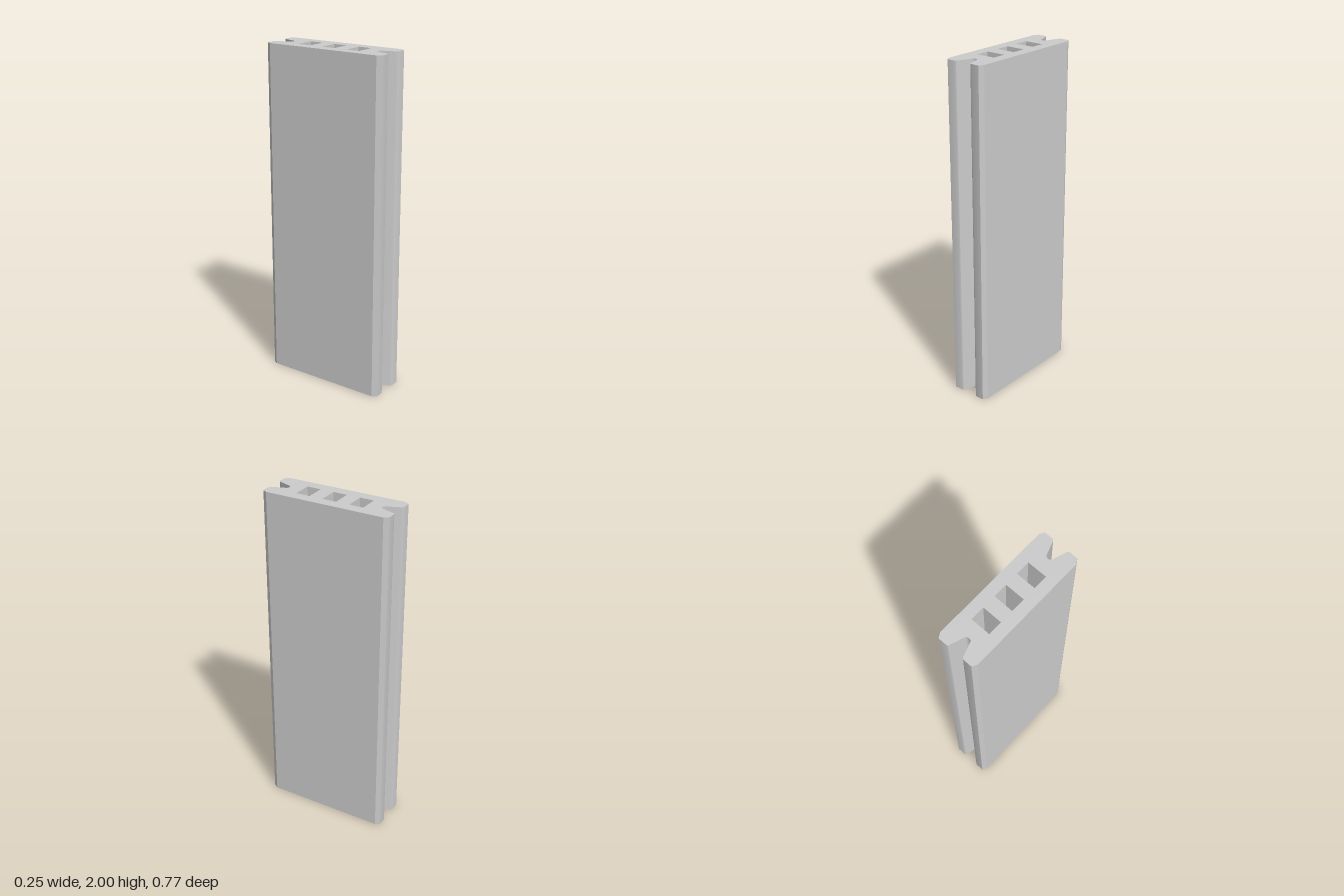
import * as THREE from 'three';
import { toCreasedNormals } from 'three/addons/utils/BufferGeometryUtils.js';

const HEIGHT = 2, HALF_W = 0.123, HALF_L = 0.383;

// One grooved end of the cross-section, running from +x to -x
function grooveEnd() {
  const tilt = 0.33; // slope of the groove walls
  const lipX = 0.059, lipR = 0.015, rootR = 0.02;
  const path = new THREE.Path();
  path.moveTo(HALF_W, 0.356);
  path.lineTo(0.107, HALF_L);
  path.absarc(lipX, HALF_L - lipR, lipR, Math.PI / 2, Math.PI - tilt, false);
  path.absarc(0, 0.304, rootR, -tilt, -Math.PI + tilt, true);
  path.absarc(-lipX, HALF_L - lipR, lipR, tilt, Math.PI / 2, false);
  path.lineTo(-0.107, HALF_L);
  path.lineTo(-HALF_W, 0.356);
  return path.getPoints(8);
}

// Rectangular core opening centred at distance c along the length
function coreHole(c) {
  const w = 0.058, h = 0.0415;
  return new THREE.Path([[-w, c - h], [-w, c + h], [w, c + h], [w, c - h]]
    .map(([x, y]) => new THREE.Vector2(x, y)));
}

export function createModel() {
  const group = new THREE.Group();
  group.name = 'hollowPanel';

  // Outline: one end plus the same end turned half a revolution
  const end = grooveEnd();
  const opposite = end.map((p) => p.clone().negate());
  const section = new THREE.Shape([...end, ...opposite]);
  section.holes = [-0.163, 0, 0.163].map(coreHole);

  // Extrude the section upwards, with smooth groove roundings
  let geometry = new THREE.ExtrudeGeometry(section, { depth: HEIGHT, bevelEnabled: false });
  geometry.rotateX(-Math.PI / 2);
  geometry = toCreasedNormals(geometry, 0.45);

  const panel = new THREE.Mesh(geometry, new THREE.MeshStandardMaterial({ color: 0xcccccc }));
  panel.name = 'groovedPanel';
  group.add(panel);
  return group;
}
